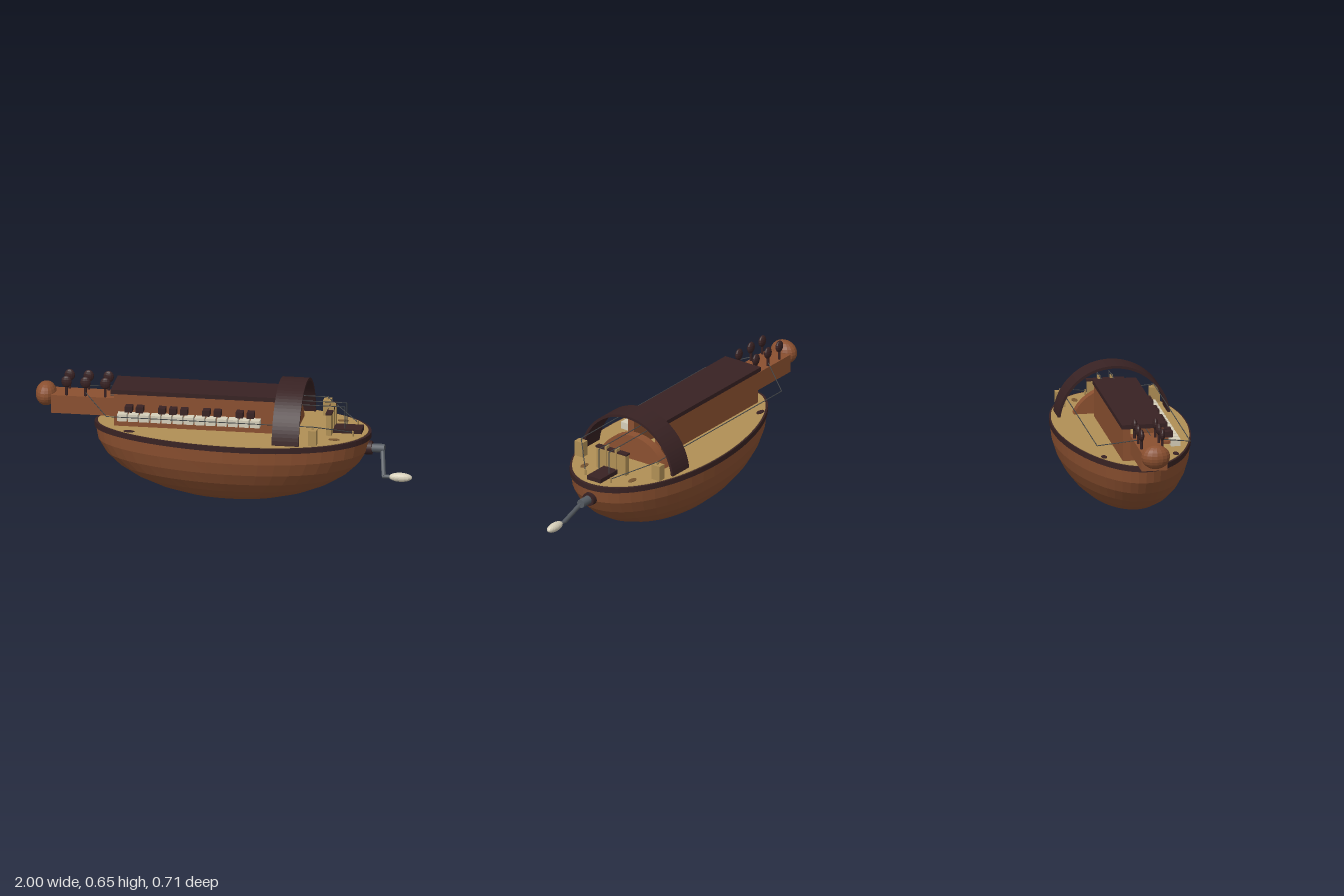
import * as THREE from 'three';

const mat = (name, color) => {
  const m = new THREE.MeshStandardMaterial({ color });
  m.name = name;
  return m;
};

export function createModel() {
  const root = new THREE.Group();
  root.name = 'hurdyGurdy';
  const wood = mat('warm brown wood', 0x8b5030);
  const dark = mat('dark wood', 0x382223);
  const tan = mat('pale spruce', 0xb08f55);
  const cream = mat('ivory', 0xd6cfba);
  const steel = mat('steel', 0x555b62);
  const wire = mat('string', 0x45484a);
  const rose = mat('sound hole brown', 0x785530);

  const add = (name, geo, m, x = 0, y = 0, z = 0) => {
    const mesh = new THREE.Mesh(geo, m);
    mesh.name = name;
    mesh.position.set(x, y, z);
    root.add(mesh);
    return mesh;
  };
  // Box given by its low and high corners
  const box = (name, m, x0, x1, y0, y1, z0, z1) =>
    add(name, new THREE.BoxGeometry(x1 - x0, y1 - y0, z1 - z0), m,
      (x0 + x1) / 2, (y0 + y1) / 2, (z0 + z1) / 2);
  const flat = (geo) => {
    const g = geo.toNonIndexed();
    g.computeVertexNormals();
    return g;
  };
  const ball = (name, m, x, y, z, rx, ry, rz, w = 16, h = 12) =>
    add(name, flat(new THREE.SphereGeometry(1, w, h).scale(rx, ry, rz)), m, x, y, z);
  // Rod between two points
  const rod = (name, m, a, b, r, sides = 6) => {
    const p = new THREE.Vector3(...a), q = new THREE.Vector3(...b);
    const mesh = add(name, new THREE.CylinderGeometry(r, r, p.distanceTo(q), sides), m);
    mesh.position.copy(p).add(q).multiplyScalar(0.5);
    mesh.quaternion.setFromUnitVectors(new THREE.Vector3(0, 1, 0), q.sub(p).normalize());
    return mesh;
  };
  const string = (name, points) => {
    for (let i = 1; i < points.length; i++) rod(name, wire, points[i - 1], points[i], 0.0025, 5);
  };

  // Egg-shaped bowl: half a sphere, fuller towards the crank end
  const CX = 0.04, LX = 0.723, LZ = 0.348, EGG = 0.12;
  const bowl = new THREE.SphereGeometry(1, 48, 8, 0, Math.PI * 2, Math.PI / 2, Math.PI / 2);
  const p = bowl.attributes.position;
  for (let i = 0; i < p.count; i++) {
    const x = p.getX(i);
    p.setXYZ(i, CX + LX * x, 0.365 + 0.36 * p.getY(i), LZ * p.getZ(i) * (1 + EGG * x));
  }
  add('bowlBody', flat(bowl), wood);

  // Rim and soundboard share the egg outline
  const slab = (scale, depth) => {
    const pts = [];
    for (let i = 0; i < 64; i++) {
      const t = (i / 64) * Math.PI * 2, c = Math.cos(t);
      pts.push(new THREE.Vector2(CX + LX * scale * c, LZ * scale * Math.sin(t) * (1 + EGG * c)));
    }
    return new THREE.ExtrudeGeometry(new THREE.Shape(pts), { depth, bevelEnabled: false })
      .rotateX(-Math.PI / 2);
  };
  add('rim', slab(1.008, 0.029), dark, 0, 0.361, 0);
  add('soundboard', slab(0.985, 0.006), tan, 0, 0.387, 0);

  // Sound holes
  for (const [x, z] of [[-0.48, 0.19], [0.597, 0.155]])
    for (const s of [1, -1])
      add('soundHole', new THREE.CylinderGeometry(1, 1, 0.004, 20).scale(0.029, 1, 0.015),
        x < 0 ? dark : rose, x, 0.394, s * z);

  // Key box with open ends, and its lid
  for (const s of [1, -1])
    add('keyBoxSide', new THREE.BoxGeometry(0.85, 0.18, 0.04), wood, -0.145, 0.481, s * 0.087);
  box('keyBoxEnd', wood, -0.57, -0.54, 0.391, 0.53, -0.068, 0.068);
  box('keyBoxLid', dark, -0.587, 0.287, 0.569, 0.592, -0.115, 0.115);

  // Keys: ivory row, and darker row in groups
  for (let i = 0; i < 13; i++) {
    const x = -0.515 + i * 0.0585;
    box('lowerKey', cream, x - 0.025, x + 0.025, 0.451, 0.489, 0.153, 0.203);
    box('lowerKeyShank', wood, x - 0.012, x + 0.012, 0.462, 0.476, 0.1, 0.155);
    if (i < 12 && ![2, 6, 9].includes(i)) {
      const d = x + 0.029;
      box('upperKey', dark, d - 0.019, d + 0.019, 0.49, 0.521, 0.123, 0.171);
      box('upperKeyShank', dark, d - 0.01, d + 0.01, 0.497, 0.512, 0.1, 0.125);
    }
  }

  // Peg head, round finial and tuning pegs
  box('pegHead', wood, -0.91, -0.57, 0.432, 0.53, -0.068, 0.068);
  ball('finial', wood, -0.945, 0.517, 0, 0.055, 0.064, 0.076);
  for (const x of [-0.83, -0.73, -0.625])
    for (const s of [1, -1]) {
      rod('pegStem', dark, [x, 0.525, s * 0.055], [x, 0.59, s * 0.055], 0.007, 8);
      ball('pegHandle', dark, x, 0.604, s * 0.055, 0.028, 0.032, 0.015, 12, 8);
    }

  // Wheel and the arched cover over it
  add('wheel', new THREE.CylinderGeometry(0.224, 0.224, 0.05, 40).rotateZ(Math.PI / 2),
    wood, 0.36, 0.303, 0);
  const arch = new THREE.Shape();
  arch.absarc(0, 0, 0.299, 0, Math.PI, false);
  arch.absarc(0, 0, 0.285, Math.PI, 0, true);
  add('wheelCover', new THREE.ExtrudeGeometry(arch,
    { depth: 0.142, bevelEnabled: false, curveSegments: 24 }).rotateY(Math.PI / 2),
  dark, 0.29, 0.359, 0);

  // Main bridge with saddle posts, and tailpiece
  box('bridge', tan, 0.545, 0.573, 0.391, 0.507, -0.095, 0.095);
  box('bridgeCap', dark, 0.543, 0.575, 0.507, 0.516, -0.1, 0.1);
  box('tailpiece', dark, 0.575, 0.725, 0.391, 0.416, -0.044, 0.044);

  for (const s of [1, -1]) {
    // Saddle posts and melody strings
    box('saddlePost', tan, 0.55, 0.578, 0.391, 0.532, s * 0.033 - 0.007, s * 0.033 + 0.007);
    string('melodyString', [[-0.6, 0.535, s * 0.033], [0.635, 0.535, s * 0.033],
      [0.635, 0.412, s * 0.033]]);
    // Drone bridge, tail pin and drone string
    add('droneBridge', new THREE.BoxGeometry(0.042, 0.085, 0.053), tan, 0.5, 0.433, s * 0.249);
    add('droneSaddle', new THREE.BoxGeometry(0.012, 0.014, 0.01), tan, 0.5, 0.481, s * 0.247);
    rod('dronePin', tan, [0.685, 0.39, s * 0.083], [0.685, 0.422, s * 0.083], 0.005, 8);
    string('droneString', [[-0.73, 0.55, s * 0.055], [-0.59, 0.489, s * 0.247],
      [0.5, 0.489, s * 0.247], [0.685, 0.415, s * 0.083]]);
  }

  // Crank
  rod('crankBoss', dark, [0.73, 0.307, 0], [0.775, 0.307, 0], 0.036, 20);
  rod('crankAxle', steel, [0.77, 0.307, 0], [0.84, 0.307, 0], 0.023, 16);
  rod('crankArm', steel, [0.828, 0.312, -0.002], [0.85, 0.185, 0.095], 0.012, 12);
  rod('handlePin', steel, [0.842, 0.185, 0.095], [0.89, 0.185, 0.095], 0.01, 10);
  ball('crankHandle', cream, 0.938, 0.185, 0.095, 0.062, 0.024, 0.025);

  return root;
}
